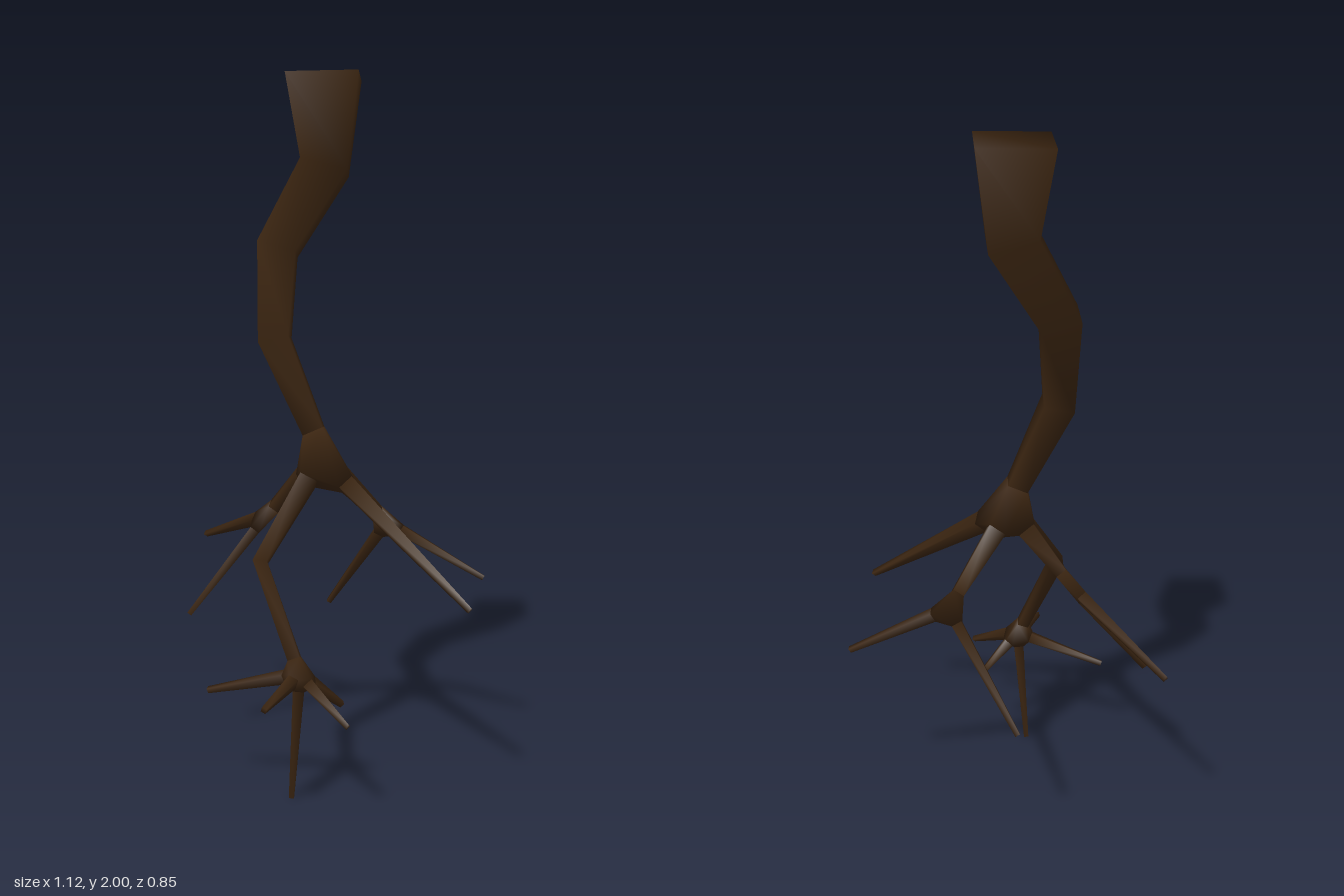
import * as THREE from 'three';
import { ConvexGeometry } from 'three/addons/geometries/ConvexGeometry.js';

const V = (p) => new THREE.Vector3(...p);
const DOWN = new THREE.Vector3(0, -1, 0);

// Four corners of a diamond section at a point, facing along a direction
function ring(center, dir, r) {
  const q = new THREE.Quaternion().setFromUnitVectors(DOWN, dir);
  return [[1, 0], [0, 1], [-1, 0], [0, -1]].map(([x, z]) =>
    new THREE.Vector3(x * r, 0, z * r).applyQuaternion(q).add(center));
}

// Tapered four-sided limb through nodes of [x, y, z, radius]
function limb(nodes, capStart) {
  const pts = nodes.map((n) => V(n.slice(0, 3)));
  const last = pts.length - 1;
  const step = (i) => pts[i + 1].clone().sub(pts[i]).normalize();
  const rings = pts.map((p, i) => {
    const dir = step(Math.min(i, last - 1));
    if (i > 0 && i < last) dir.add(step(i - 1)).normalize();
    return ring(p, dir, nodes[i][3]);
  });
  const index = [];
  for (let k = 0; k < last; k++) {
    for (let i = 0; i < 4; i++) {
      const a = k * 4 + i, b = k * 4 + (i + 1) % 4;
      index.push(a, b, a + 4, b, b + 4, a + 4);
    }
  }
  const e = last * 4;
  index.push(e, e + 1, e + 2, e, e + 2, e + 3);
  if (capStart) index.push(0, 2, 1, 0, 3, 2);
  const geometry = new THREE.BufferGeometry().setFromPoints(rings.flat());
  geometry.setIndex(index);
  geometry.computeVertexNormals();
  return { geometry, first: rings[0], end: rings[last] };
}

// Smooth hull that joins the end sections of limbs meeting at a fork
function fork(center, sections) {
  const geometry = new ConvexGeometry(sections.flat());
  const pos = geometry.attributes.position, nor = geometry.attributes.normal;
  const n = new THREE.Vector3();
  for (let i = 0; i < pos.count; i++) {
    n.fromBufferAttribute(pos, i).sub(center).normalize();
    nor.setXYZ(i, n.x, n.y, n.z);
  }
  return geometry;
}

// Node on the line from a to b, at a distance from a
function toward(a, b, d, r) {
  const p = V(a), dir = V(b).sub(p).normalize();
  return [...p.addScaledVector(dir, d).toArray(), r];
}

export function createModel() {
  const group = new THREE.Group();
  const bark = new THREE.MeshStandardMaterial({ color: 0x3b2511 });
  bark.name = 'darkBark';
  const add = (name, geometry) => {
    const mesh = new THREE.Mesh(geometry, bark);
    mesh.name = name;
    group.add(mesh);
  };

  // Main root, wide at the top
  const trunk = limb([
    [-0.085, 1.99, -0.105, 0.145], [-0.07, 1.735, -0.095, 0.097],
    [-0.125, 1.505, 0.035, 0.079], [-0.09, 1.25, 0.075, 0.062],
    [0.012, 0.995, 0.018, 0.043],
  ], true);
  add('mainRoot', trunk.geometry);

  const crown = [0.03, 0.92, 0.005];
  const crownSections = [trunk.end];

  // Single long side root
  const side = limb([toward(crown, [0.555, 0.57, -0.06], 0.12, 0.033), [0.552, 0.572, -0.06, 0.011]]);
  add('sideRoot', side.geometry);
  crownSections.push(side.first);

  // Branches that fork again: optional bend, fork point, rootlet tips
  const branches = [
    { name: 'left', node: [-0.175, 0.72, 0.045], reach: 0.05,
      tips: [[-0.558, 0.59, -0.02], [-0.303, 0.43, 0.233]] },
    { name: 'back', node: [0.03, 0.695, -0.255], reach: 0.05,
      tips: [[-0.238, 0.392, -0.262], [0.273, 0.542, -0.418]] },
    { name: 'front', bend: [0.055, 0.66, 0.248, 0.028], node: [0.198, 0.37, 0.228], reach: 0.045,
      tips: [[-0.045, 0.292, 0.357], [0.393, 0.277, 0.23], [0.277, 0.335, 0.417],
        [0.235, 0.267, 0.107], [0.155, 0.003, 0.222]] },
  ];
  for (const { name, bend, node, reach, tips } of branches) {
    const aim = bend ? bend.slice(0, 3) : node;
    const path = [toward(crown, aim, 0.08, 0.037)];
    if (bend) path.push(bend);
    path.push(toward(node, bend ? aim : crown, reach, 0.024));
    const stem = limb(path);
    add(name + 'Branch', stem.geometry);
    crownSections.push(stem.first);

    const sections = [stem.end];
    tips.forEach((tip, i) => {
      const rootlet = limb([toward(node, tip, reach, 0.021), [...tip, 0.01]]);
      add(name + 'Rootlet' + (i + 1), rootlet.geometry);
      sections.push(rootlet.first);
    });
    add(name + 'Fork', fork(V(node), sections));
  }
  add('crownFork', fork(V(crown), crownSections));
  return group;
}
